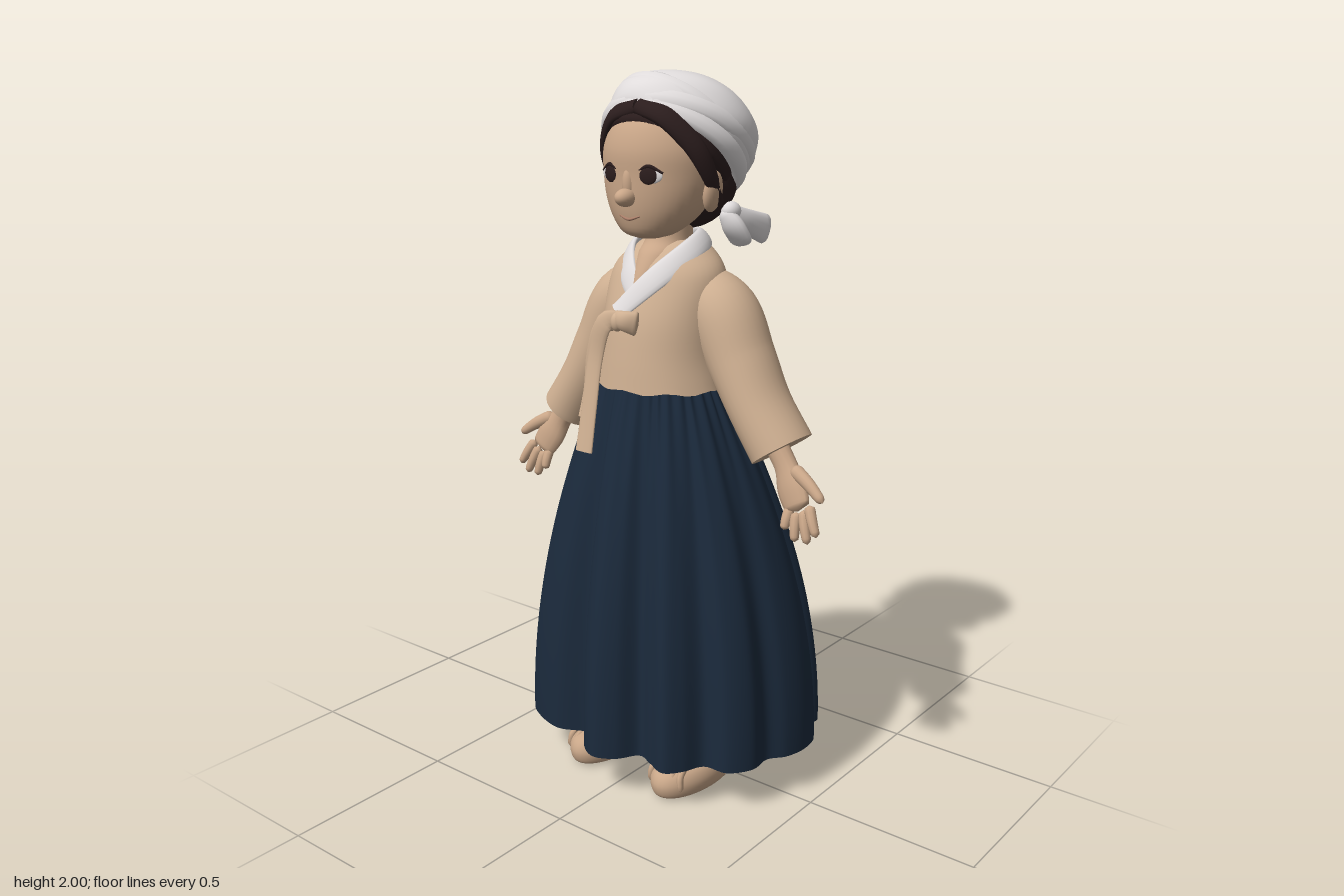
import * as THREE from 'three';

const V = (x, y, z) => new THREE.Vector3(x, y, z);
const TAU = Math.PI * 2;
const mat = (name, color, side = THREE.FrontSide) => {
  const m = new THREE.MeshStandardMaterial({ color, side });
  m.name = name;
  return m;
};

// Skin a list of closed rings, with optional flat caps, facing outwards
function skinRings(rings, caps = true) {
  const n = rings[0].length, pos = [], idx = [];
  rings.forEach(r => r.forEach(p => pos.push(p.x, p.y, p.z)));
  for (let i = 0; i < rings.length - 1; i++) for (let j = 0; j < n; j++) {
    const a = i * n + j, b = i * n + (j + 1) % n;
    idx.push(a, b, a + n, b, b + n, a + n);
  }
  if (caps) [rings[0], rings[rings.length - 1]].forEach((r, end) => {
    const base = pos.length / 3, c = V(0, 0, 0);
    r.forEach(p => { c.addScaledVector(p, 1 / n); pos.push(p.x, p.y, p.z); });
    pos.push(c.x, c.y, c.z);
    for (let j = 0; j < n; j++) {
      const a = base + j, b = base + (j + 1) % n;
      end ? idx.push(a, b, base + n) : idx.push(b, a, base + n);
    }
  });
  // signed volume decides the winding
  const at = i => V(pos[i * 3], pos[i * 3 + 1], pos[i * 3 + 2]);
  let vol = 0;
  for (let i = 0; i < idx.length; i += 3) vol += at(idx[i]).dot(at(idx[i + 1]).cross(at(idx[i + 2])));
  if (vol < 0) idx.reverse();
  const g = new THREE.BufferGeometry();
  g.setAttribute('position', new THREE.Float32BufferAttribute(pos, 3));
  g.setIndex(idx);
  g.computeVertexNormals();
  return g;
}

const spline = (pts, closed = false) => new THREE.CatmullRomCurve3(pts, closed, 'catmullrom', 0.5);

// Stack of ellipses; each row is [y, half width, front z, back z]
function loft(rows, warp = () => {}, steps = 28, seg = 40) {
  const a = spline(rows.map(r => V(r[0], r[1], 0))), b = spline(rows.map(r => V(r[2], r[3], 0)));
  const rings = [];
  for (let i = 0; i <= steps; i++) {
    const t = i / steps, p = a.getPoint(t), q = b.getPoint(t), ring = [];
    for (let j = 0; j < seg; j++) {
      const th = j / seg * TAU;
      const v = V(Math.max(p.y, 0.001) * Math.sin(th), p.x, (q.x + q.y) / 2 + (q.x - q.y) / 2 * Math.cos(th));
      warp(v, th, t);
      ring.push(v);
    }
    rings.push(ring);
  }
  return skinRings(rings);
}

// Elliptical section along a path; sizes are [half width, half thickness], ref gives the thickness direction
function sweep(path, sizes, { ref = () => V(0, 0, 1), round = 0, steps = 20, seg = 14 } = {}) {
  const c = spline(path.map(p => V(...p))), s = spline(sizes.map(r => V(r[0], r[1], 0))), rings = [];
  for (let i = 0; i <= steps; i++) {
    const t = i / steps, p = c.getPoint(t), r = s.getPoint(t), tan = c.getTangent(t);
    const b = tan.clone().cross(ref(p)).normalize(), n = b.clone().cross(tan);
    const d = round ? Math.min(1, Math.min(t, 1 - t) / round) : 1;
    const f = Math.max(0.02, Math.sqrt(1 - (1 - d) ** 2));
    rings.push(Array.from({ length: seg }, (_, j) => {
      const th = j / seg * TAU;
      return p.clone().addScaledVector(b, Math.cos(th) * r.x * f).addScaledVector(n, Math.sin(th) * r.y * f);
    }));
  }
  return skinRings(rings);
}

export function createModel() {
  const model = new THREE.Group();
  const skin = mat('skin', 0xc9a688), cloth = mat('jacket cloth', 0xcfb092);
  const white = mat('white cotton', 0xdfdbdb), navy = mat('navy skirt', 0x1b2a3c, THREE.DoubleSide);
  const dark = mat('dark hair', 0x2b1d1d), straw = mat('straw', 0xc8a688), lip = mat('lip', 0xa97d68);
  const add = (name, geo, m, parent = model) => {
    const mesh = new THREE.Mesh(geo, m);
    mesh.name = name;
    parent.add(mesh);
    return mesh;
  };
  const ball = (name, m, p, r, parent) => {
    const mesh = add(name, new THREE.SphereGeometry(1, 24, 16), m, parent);
    mesh.position.set(...p);
    mesh.scale.set(...r);
    return mesh;
  };

  // Skirt: waist ellipse opening into a hem with deep folds, hem points as [x, z]
  const hem = spline([
    [0, .36], [.06, .33], [.1, .275], [.15, .29], [.21, .31], [.25, .27], [.28, .21], [.35, .2], [.395, .14],
    [.395, .07], [.43, .02], [.445, -.05], [.43, -.12], [.375, -.16], [.38, -.22], [.31, -.28], [.24, -.28],
    [.175, -.245], [.145, -.31], [.08, -.365], [0, -.34], [-.05, -.26], [-.14, -.235], [-.26, -.28], [-.37, -.2],
    [-.39, -.12], [-.455, -.06], [-.44, .03], [-.395, .08], [-.38, .16], [-.33, .25], [-.2, .3], [-.1, .265], [-.06, .33],
  ].map(([x, z]) => V(x, 0, z)), true);
  const skirtRings = [];
  for (let i = 0; i <= 32; i++) {
    const t = i / 32, w = 1 - (1 - t) ** 1.95;
    skirtRings.push(Array.from({ length: 240 }, (_, j) => {
      const h = hem.getPoint(j / 240), th = Math.atan2(h.x, h.z);
      const pleat = 1 + .025 * Math.cos(j / 240 * TAU * 30) * (1 - t) ** 1.5;
      const waist = V(.175 * Math.sin(th) * pleat, 0, .045 + .148 * Math.cos(th) * pleat);
      return waist.lerp(h, w).setY(1.18 - 1.05 * t);
    }));
  }
  add('skirt', skinRings(skirtRings, false), navy);

  // Jacket body, chest and neck
  add('jacket', loft([[1.162, .194, .213, -.121], [1.25, .177, .203, -.12], [1.35, .175, .186, -.126],
    [1.44, .175, .153, -.122], [1.49, .158, .128, -.114], [1.53, .115, .095, -.102], [1.555, .075, .065, -.08]],
    (v, th, t) => { v.y += .004 * Math.cos(th * 9) * (1 - t) ** 8; }), cloth);
  add('neck', loft([[1.4, .02, .172, 0], [1.46, .05, .15, -.02], [1.52, .065, .115, -.06],
    [1.56, .06, .08, -.06], [1.63, .06, .07, -.06]]), skin);

  // Crossed collar, the left band lying over the right
  const outward = p => V(p.x, .07, p.z);
  const collar = (s, end) => sweep([[0, 1.55, -.095], [s * .075, 1.557, -.05], [s * .1, 1.53, .045], ...end],
    [[.03, .011], [.03, .011], [.033, .011], [.033, .01], [.03, .009]], { ref: outward, steps: 32 });
  add('rightCollar', collar(-1, [[-.055, 1.475, .122], [.005, 1.42, .158]]), white);
  add('leftCollar', collar(1, [[.05, 1.46, .142], [-.038, 1.37, .19]]), white);

  // Bow and hanging ribbons
  const bow = new THREE.Group();
  bow.name = 'bow';
  model.add(bow);
  add('longRibbon', sweep([[0, 1.355, .2], [-.055, 1.345, .22], [-.085, 1.25, .225], [-.09, 1.12, .247], [-.092, .99, .272]],
    [[.022, .008], [.028, .01], [.026, .008], [.027, .007], [.03, .006]]), cloth, bow);
  add('shortRibbon', sweep([[-.01, 1.345, .2], [-.08, 1.33, .205], [-.115, 1.25, .205], [-.128, 1.15, .205], [-.132, 1.07, .222]],
    [[.018, .007], [.022, .008], [.02, .007], [.02, .006], [.023, .006]]), cloth, bow);
  add('bowLoop', sweep([[-.03, 1.358, .205], [.005, 1.355, .212], [.042, 1.348, .195]],
    [[.022, .012], [.028, .018], [.036, .012]], { round: .1 }), cloth, bow);
  ball('bowKnot', cloth, [-.018, 1.35, .212], [.018, .026, .018], bow);

  for (const s of [1, -1]) {
    const side = s > 0 ? 'left' : 'right';
    // Arm: wide sleeve, flat palm facing forward, fingers, thumb outward
    const arm = new THREE.Group();
    arm.name = side + 'Arm';
    model.add(arm);
    add('sleeve', sweep([[s * .06, 1.45, -.01], [s * .165, 1.37, -.01], [s * .235, 1.245, -.005], [s * .3, 1.13, 0], [s * .375, 1.02, 0]],
      [[.055, .075], [.094, .102], [.091, .1], [.083, .097], [.086, .095]], { steps: 28, seg: 28 }), cloth, arm);
    add('palm', sweep([[s * .34, 1.07, .015], [s * .4, .99, .022], [s * .435, .93, .038], [s * .465, .878, .052]],
      [[.036, .032], [.033, .028], [.046, .024], [.04, .016]], { round: .08 }), skin, arm);
    [[.495, .9, .535, .825], [.478, .883, .508, .8], [.456, .873, .468, .798], [.436, .88, .434, .825]].forEach(([x, y, tx, ty], i) =>
      add('finger' + (i + 1), sweep([[s * x, y, .048], [s * (x + tx) / 2, (y + ty) / 2, .063], [s * tx, ty, .072]],
        [[.015, .015], [.014, .014], [.011, .011]], { round: .15, steps: 12, seg: 10 }), skin, arm));
    add('thumb', sweep([[s * .43, .985, .03], [s * .49, .955, .045], [s * .543, .918, .058]],
      [[.021, .02], [.018, .016], [.012, .012]], { round: .15 }), skin, arm);

    // Leg, sock and straw shoe
    const leg = new THREE.Group();
    leg.name = side + 'Leg';
    leg.position.x = s * .155;
    model.add(leg);
    add('shin', sweep([[-s * .03, .7, 0], [-s * .015, .4, -.01], [0, .12, 0]], [[.075, .075], [.062, .062], [.046, .046]]), skin, leg);
    add('sock', sweep([[0, .17, 0], [0, .12, 0], [0, .06, 0]], [[.053, .054], [.051, .054], [.056, .06]]), white, leg);
    ball('sockInstep', white, [0, .085, .055], [.052, .048, .09], leg);
    add('shoe', loft([[0, .062, .235, -.055], [.012, .082, .255, -.068], [.045, .088, .262, -.07],
      [.075, .078, .245, -.066], [.092, .055, .2, -.055], [.098, .035, .15, -.045]]), straw, leg);
    const rim = add('shoeRim', new THREE.TorusGeometry(.06, .012, 8, 32).rotateX(Math.PI / 2), straw, leg);
    rim.position.set(0, .082, .035);
    rim.scale.set(1.05, 1, 1.6);
    for (let i = -2; i <= 2; i++)
      add('strawStrand', sweep([[i * .016, .093, .13], [i * .024, .08, .215], [i * .028, .03, .255 - i * i * .007]],
        [[.009, .009], [.011, .01], [.008, .008]], { ref: () => V(1, 0, 0), round: .1, seg: 8, steps: 10 }), straw, leg);

    // Ear, eye and the parted hair framing the face
    ball(side + 'Ear', skin, [s * .16, 1.69, .03], [.02, .055, .034]).rotation.z = -s * .15;
    ball(side + 'EyeWhite', white, [s * .066, 1.735, .174], [.035, .021, .006]).rotation.y = s * .28;
    ball(side + 'Iris', dark, [s * .063, 1.735, .178], [.025, .023, .006]).rotation.y = s * .25;
    add(side + 'Lash', sweep([[s * .03, 1.744, .184], [s * .065, 1.759, .179], [s * .1, 1.742, .164]],
      [[.003, .003], [.005, .004], [.003, .003]]), dark);
    add(side + 'FrontHair', sweep([[0, 1.905, .14], [s * .085, 1.88, .133], [s * .145, 1.81, .095], [s * .168, 1.74, .06], [s * .165, 1.66, .01]],
      [[.024, .018], [.03, .018], [.03, .02], [.024, .014], [.014, .012]], { ref: p => V(p.x, p.y - 1.75, p.z), steps: 28 }), dark);

    // Tied tails of the headscarf
    add(side + 'BackTail', sweep([[s * .145, 1.635, -.06], [s * .16, 1.6, -.12], [s * .175, 1.565, -.215]],
      [[.02, .016], [.034, .022], [.044, .014]], { ref: () => V(1, 0, 0), round: .12 }), white);
    add(side + 'LowTail', sweep([[s * .135, 1.635, -.05], [s * .16, 1.59, -.065], [s * .17, 1.535, -.1]],
      [[.016, .016], [.034, .022], [.036, .014]], { round: .18 }), white);
    ball(side + 'Knot', white, [s * .148, 1.63, -.07], [.026, .026, .03]);
  }

  // Head
  add('head', loft([[1.565, .03, .13, .06], [1.58, .075, .163, .02], [1.62, .118, .18, -.04], [1.67, .146, .188, -.08],
    [1.73, .162, .19, -.11], [1.8, .163, .19, -.12], [1.87, .135, .162, -.11], [1.92, .08, .1, -.08]]), skin);
  ball('nose', skin, [0, 1.677, .193], [.026, .024, .035]);
  ball('noseBridge', skin, [0, 1.71, .18], [.018, .045, .018]);
  add('mouth', sweep([[-.034, 1.629, .177], [0, 1.62, .182], [.034, 1.629, .177]],
    [[.002, .003], [.004, .004], [.002, .003]]), lip);
  ball('backHair', dark, [0, 1.72, -.045], [.163, .145, .135]);

  // Headscarf and the hair under its rim share a frame tilted up and back
  const wrap = new THREE.Group();
  wrap.name = 'headscarf';
  wrap.position.set(-.008, 1.772, .015);
  wrap.rotation.x = -.707;
  model.add(wrap);
  add('hairUnderRim', loft([[-.03, .16, .16, -.16], [-.02, .182, .178, -.175], [0, .188, .186, -.18], [.04, .19, .19, -.18]]), dark, wrap);
  add('scarfDome', loft([[.018, .18, .18, -.188], [.045, .2, .193, -.207], [.1, .21, .193, -.222], [.155, .197, .165, -.208],
    [.2, .15, .108, -.16], [.235, .082, .045, -.095], [.248, .002, -.02, -.024]], (v, th, t) => {
    const k = 1 + .02 * Math.sin(th * 3 + t * 9) * Math.sin(t * Math.PI) + .012 * Math.sin(th * 5 - t * 16) * (1 - t);
    v.x *= k;
    v.z *= k;
  }, 36, 64), white, wrap);
  [[.036, 0, 0, .193, .021], [.065, .08, .12, .196, .022], [.095, -.1, -.14, .193, .02]].forEach(([y, rx, rz, r, tube], i) => {
    const band = add('scarfFold' + (i + 1), new THREE.TorusGeometry(r, tube, 10, 56).rotateX(Math.PI / 2), white, wrap);
    band.position.set(0, y, -.012);
    band.rotation.set(rx, 0, rz);
    band.scale.set(1, 1.4, .95);
  });
  return model;
}
